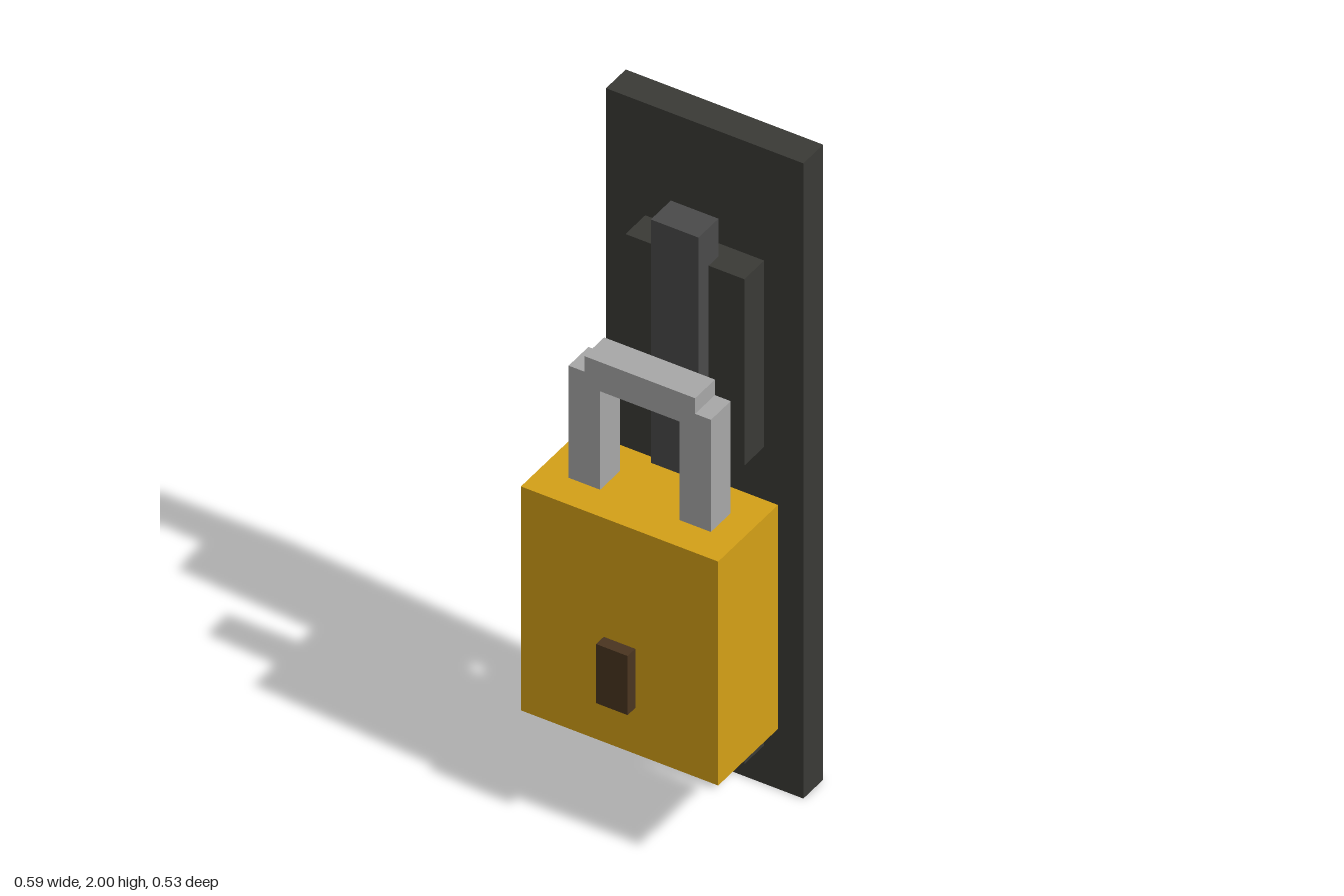
import * as THREE from 'three';

const material = (color) => new THREE.MeshStandardMaterial({ color, flatShading: true });

export function createModel() {
  const model = new THREE.Group();
  model.name = 'padlockedLatch';

  const iron = material(0x3a3a36);
  const steel = material(0x4a4a4a);
  const brass = material(0xd4a017);
  const silver = material(0xa8a8a8);
  const dark = material(0x4a3520);

  // Box given by its extents along each axis
  const box = (name, mat, [x0, x1], [y0, y1], [z0, z1], parent = model) => {
    const mesh = new THREE.Mesh(new THREE.BoxGeometry(x1 - x0, y1 - y0, z1 - z0), mat);
    mesh.position.set((x0 + x1) / 2, (y0 + y1) / 2, (z0 + z1) / 2);
    mesh.name = name;
    parent.add(mesh);
  };

  // Back plate with two brackets carrying the sliding bar
  box('backPlate', iron, [-0.294, 0.294], [0, 2], [-0.265, -0.172]);
  box('upperBracket', iron, [-0.177, 0.177], [1.06, 1.647], [-0.172, -0.079]);
  box('lowerBracket', iron, [-0.177, 0.177], [0.12, 0.588], [-0.172, -0.079]);
  box('slidingBar', steel, [-0.071, 0.071], [0.236, 1.766], [-0.125, -0.031]);

  // Padlock
  const padlock = new THREE.Group();
  padlock.name = 'padlock';
  model.add(padlock);
  box('lockBody', brass, [-0.294, 0.294], [0.295, 1], [-0.053, 0.228], padlock);
  box('keyhole', dark, [-0.047, 0.047], [0.44, 0.626], [0.228, 0.264], padlock);

  // Shackle: two legs and a raised crossbar
  const shackleZ = [0.04, 0.133];
  box('leftShackleLeg', silver, [0.118, 0.212], [1, 1.353], shackleZ, padlock);
  box('rightShackleLeg', silver, [-0.212, -0.118], [1, 1.353], shackleZ, padlock);
  box('shackleCrossbar', silver, [-0.165, 0.165], [1.31, 1.402], shackleZ, padlock);

  return model;
}
